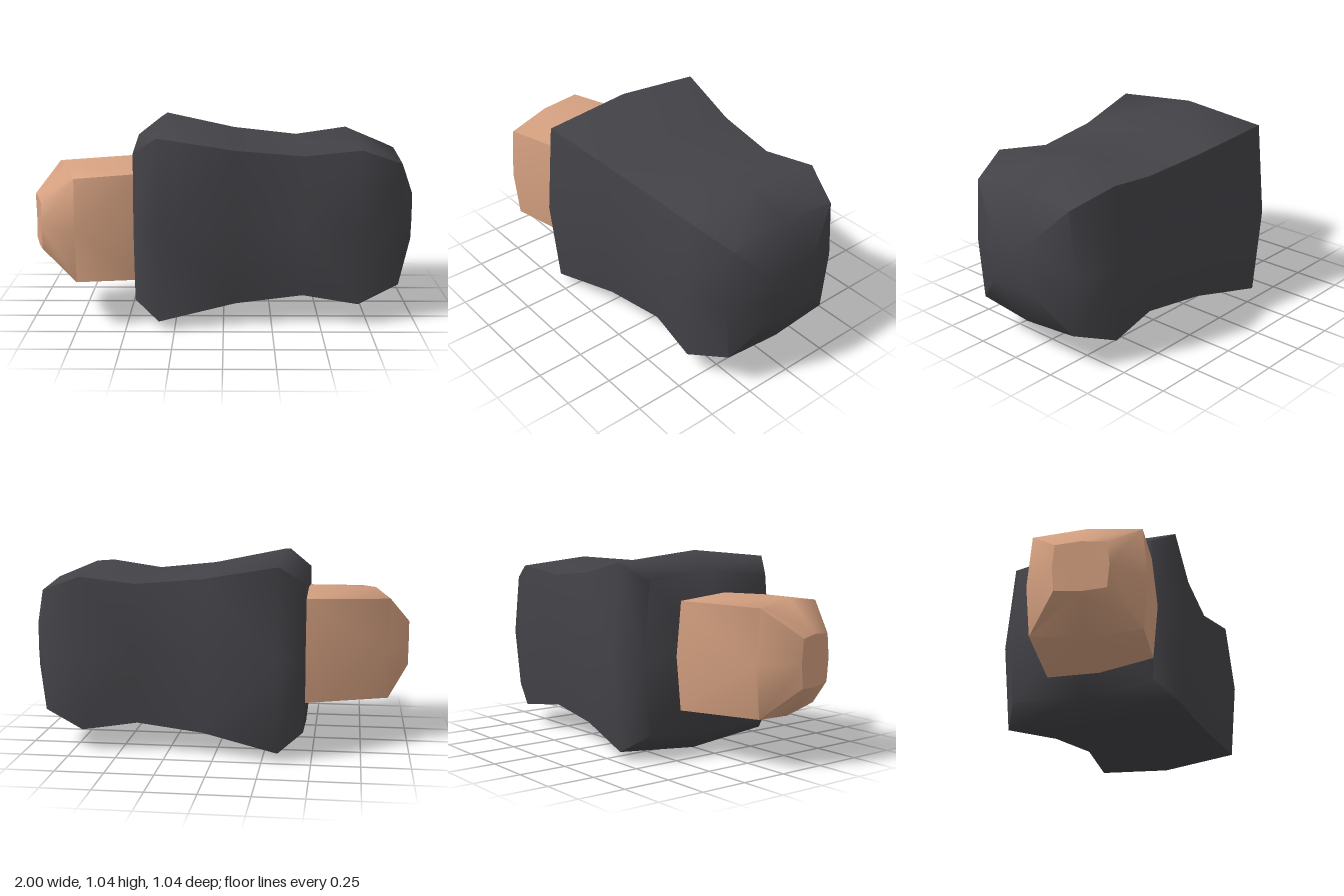
import * as THREE from 'three';
import { toCreasedNormals } from 'three/addons/utils/BufferGeometryUtils.js';

const CENTER_Y = 0.52;
const K = 0.913; // corners sit slightly inside the bulged side middles
// Unit ring in (y, z): side middles alternate with corners
const RING = [[1, 0], [K, K], [0, 1], [-K, K], [-1, 0], [-K, -K], [0, -1], [K, -K]];

// Section: back x, front x, back z, front z, half height
function ringPoints([xb, xf, zb, zf, h]) {
  return RING.map(([u, v]) => [
    (xb + xf) / 2 + Math.sign(v) * (xf - xb) / 2,
    CENTER_Y + u * h,
    (zb + zf) / 2 + v * (zf - zb) / 2,
  ]);
}

// Skin the sections in order of rising x, with optional end caps
function loft(sections, crease, capStart, capEnd) {
  const rings = sections.map(ringPoints);
  const pos = [];
  const tri = (...pts) => pts.forEach((p) => pos.push(...p));
  const middle = ([xb, xf, zb, zf]) => [(xb + xf) / 2, CENTER_Y, (zb + zf) / 2];
  const last = rings.length - 1;
  for (let j = 0; j < 8; j++) {
    const n = (j + 1) % 8;
    for (let i = 0; i < last; i++) {
      const a = rings[i][j], b = rings[i][n], c = rings[i + 1][n], d = rings[i + 1][j];
      if (j % 2) tri(a, b, d, b, c, d);
      else tri(a, b, c, a, c, d);
    }
    if (capStart) tri(middle(sections[0]), rings[0][n], rings[0][j]);
    if (capEnd) tri(middle(sections[last]), rings[last][j], rings[last][n]);
  }
  const g = new THREE.BufferGeometry();
  g.setAttribute('position', new THREE.Float32BufferAttribute(pos, 3));
  return toCreasedNormals(g, crease);
}

export function createModel() {
  const group = new THREE.Group();
  const cloth = new THREE.MeshStandardMaterial({ name: 'charcoal cloth', color: 0x434247 });
  const skin = new THREE.MeshStandardMaterial({ name: 'tan skin', color: 0xd4a080 });
  const add = (name, geometry, material) => {
    const mesh = new THREE.Mesh(geometry, material);
    mesh.name = name;
    group.add(mesh);
  };

  // Flared sleeve with a rounded shoulder end: x, radius
  const profile = [[-0.455, 0.42], [-0.33, 0.518], [0.06, 0.437], [0.41, 0.4],
    [0.695, 0.44], [0.91, 0.35], [1, 0.135]];
  const sleeve = profile.map(([x, r]) => [x, x, -r, r, r]);
  add('sleeve', loft(sleeve, 1.05, true, true), cloth);

  // Blocky fist, slanted towards the front
  const tip = [-1, -0.93, 0.11, 0.37, 0.132];
  const knuckles = [-0.89, -0.745, -0.083, 0.485, 0.293];
  const wrist = [-0.43, -0.43, -0.223, 0.41, 0.304];
  add('hand', loft([tip, knuckles, wrist], 0.95, false, true), skin);
  add('handEnd', loft([tip], 0.5, true, false), skin);

  return group;
}
